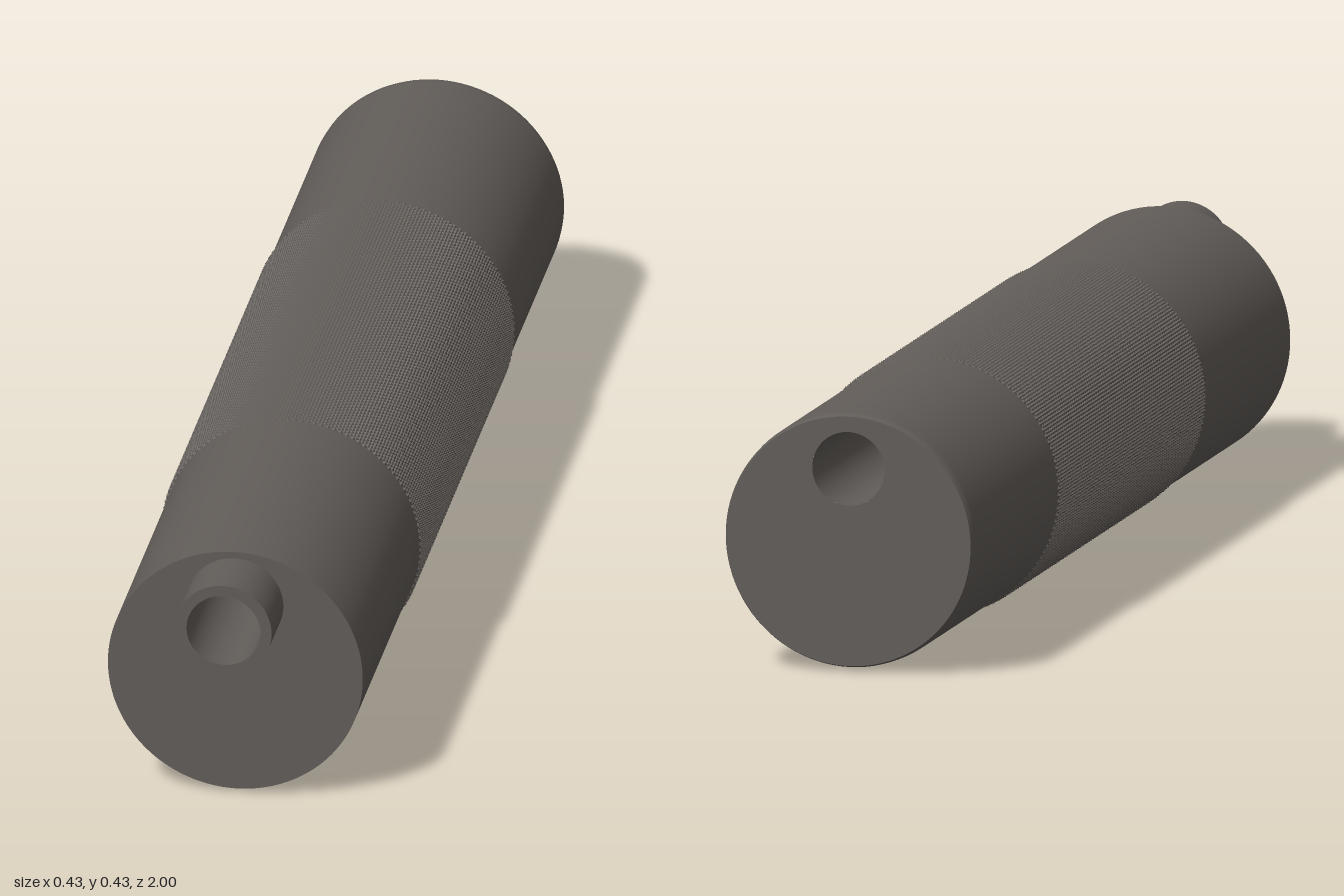
import * as THREE from 'three';

const SEG = 96;
const AXIS_Y = 0.212;   // height of the body's axis
const BORE_Y = 0.33;    // height of the off-centre bore
const BODY_R = 0.207, KNURL_R = 0.2125, TUBE_R = 0.078, BORE_R = 0.06;
const BACK = -1, FRONT = 0.89, TIP = 1;

const steel = new THREE.MeshStandardMaterial({ color: 0x625d59 });
steel.name = 'dark steel';

function add(group, name, geometry, y = 0) {
  const mesh = new THREE.Mesh(geometry, steel);
  mesh.name = name;
  mesh.position.y = y;
  group.add(mesh);
  return mesh;
}

// Surface turned around the z axis from [radius, z] pairs; rising z faces outward
function turned(points) {
  const g = new THREE.LatheGeometry(points.map(([r, z]) => new THREE.Vector2(r, z)), SEG);
  return g.rotateX(Math.PI / 2);
}

// Flat disc with a round hole, facing +z
function disc(r, y, holeR, holeY) {
  const shape = new THREE.Shape().absarc(0, y, r, 0, Math.PI * 2);
  shape.holes.push(new THREE.Path().absarc(0, holeY, holeR, 0, Math.PI * 2, true));
  return new THREE.ShapeGeometry(shape, SEG);
}

// Diamond knurling: a lattice of small four-sided pyramids wrapped on a cylinder
function knurl(z0, z1, around, along) {
  const pos = [];
  const point = (i, j, peak) => {
    const a = (i / around) * Math.PI * 2;
    const r = peak ? KNURL_R : BODY_R + 0.001;
    pos.push(r * Math.cos(a), r * Math.sin(a), z0 + (z1 - z0) * j / along);
  };
  const corners = [[1, 0], [0, 1], [-1, 0], [0, -1]];
  for (let j = 0; j <= along; j++) {
    for (let i = j % 2; i < around; i += 2) {
      corners.forEach(([ax, az], k) => {
        const [bx, bz] = corners[(k + 1) % 4];
        const low = j + Math.min(az, bz), high = j + Math.max(az, bz);
        if (low < 0 || high > along) return;
        point(i, j, true);
        point(i + ax, j + az, false);
        point(i + bx, j + bz, false);
      });
    }
  }
  const g = new THREE.BufferGeometry();
  g.setAttribute('position', new THREE.Float32BufferAttribute(pos, 3));
  // Each face keeps its own flat normal
  g.computeVertexNormals();
  return g;
}

export function createModel() {
  const model = new THREE.Group();
  model.name = 'knurledTube';

  // Main barrel with a slightly eased rear edge
  add(model, 'barrel', turned([[BODY_R - 0.004, BACK], [BODY_R - 0.001, BACK + 0.008],
    [BODY_R, BACK + 0.02], [BODY_R, FRONT]]), AXIS_Y);
  add(model, 'frontFace', disc(BODY_R, AXIS_Y, BORE_R, BORE_Y)).position.z = FRONT;

  const back = add(model, 'backFace', disc(BODY_R - 0.004, AXIS_Y, BORE_R, BORE_Y));
  back.rotation.y = Math.PI;
  back.position.z = BACK;

  // Knurled grip band
  add(model, 'knurledGrip', knurl(-0.5, 0.37, 240, 156), AXIS_Y);

  // Off-centre spigot and the bore running right through
  add(model, 'spigot', turned([[TUBE_R, FRONT], [TUBE_R, TIP]]), BORE_Y);
  add(model, 'spigotRim', disc(TUBE_R, BORE_Y, BORE_R, BORE_Y)).position.z = TIP;
  add(model, 'bore', turned([[BORE_R, TIP], [BORE_R, BACK]]), BORE_Y);

  return model;
}
